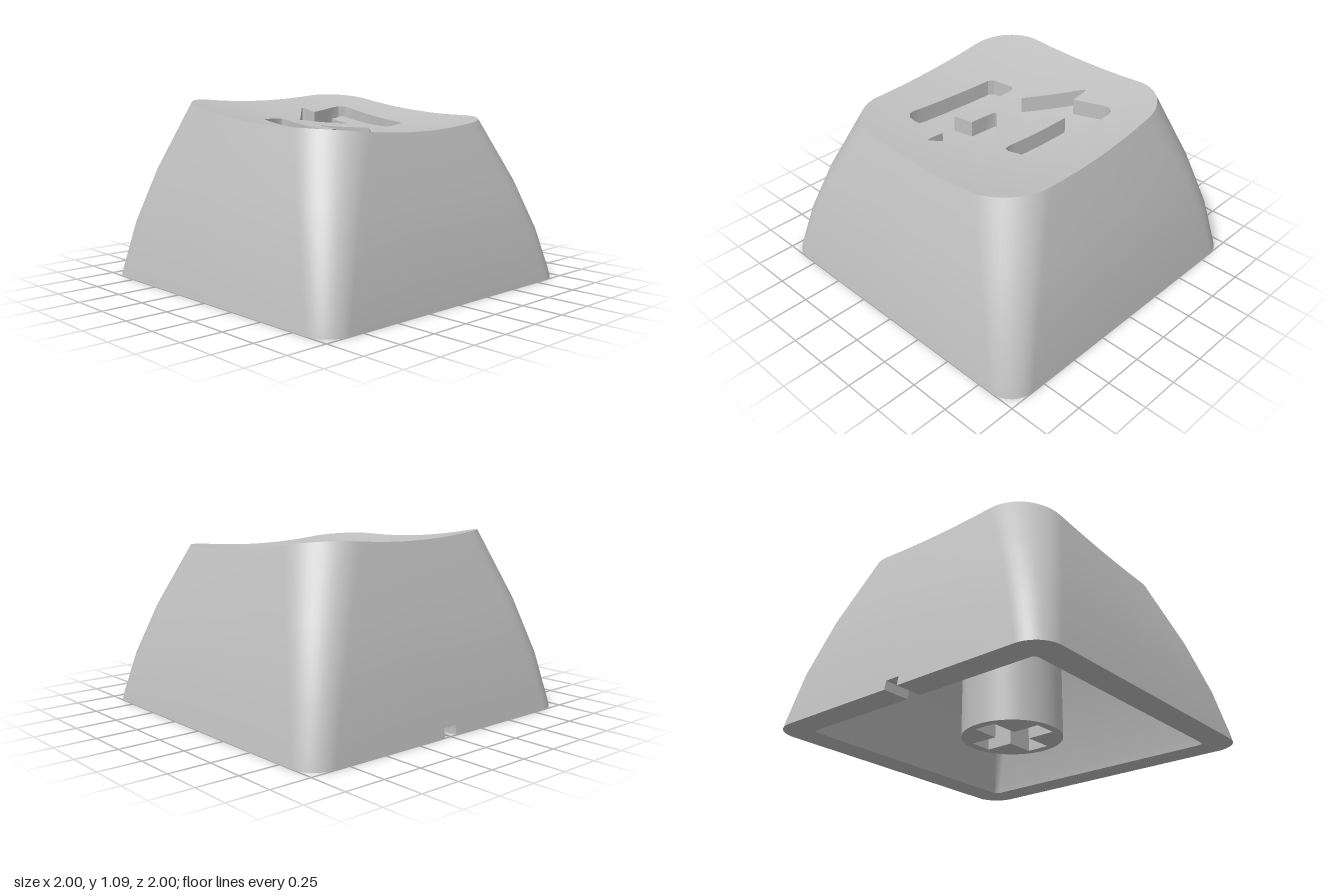
import * as THREE from 'three';
import { mergeVertices, toCreasedNormals } from 'three/addons/utils/BufferGeometryUtils.js';

const NOTCH_W = 0.047, NOTCH_H = 0.055, RECESS = 0.1, CEILING = 0.75;

// Height of the scooped, tilted top. Plan points are (x, -z).
const dish = (x, z) => 0.944 - 0.083 * z + 0.123 * (x * x + z * z);
const dishAt = (p) => dish(p.x, -p.y);
const lift = (p, y) => new THREE.Vector3(p.x, y, -p.y);

// Rounded square in plan, counter-clockwise, always with the same point count
function ring(half, radius, bow = 0) {
  const pts = [], s = half - radius;
  for (let side = 0; side < 4; side++) {
    const local = [];
    for (const f of [-0.75, -0.5, -0.25]) local.push([s * f, -half]);
    local.push([-NOTCH_W, -half], [NOTCH_W, -half]);
    for (const f of [0.25, 0.5, 0.75]) local.push([s * f, -half]);
    for (let i = 0; i <= 12; i++) {
      const a = -Math.PI / 2 + (i / 12) * Math.PI / 2;
      local.push([s + radius * Math.cos(a), -s + radius * Math.sin(a)]);
    }
    local.push([half, -s * 0.9]);
    for (const [x, y] of local) {
      const u = x * (1 - bow * (y / half) ** 2), v = y * (1 - bow * (x / half) ** 2);
      pts.push(new THREE.Vector2(u, v).rotateAround(new THREE.Vector2(), side * Math.PI / 2));
    }
  }
  return pts;
}

// Surface through rows of points; skip(row, column) leaves a cell open
function grid(rows, closed = true, skip = () => false) {
  const n = rows[0].length, index = [];
  for (let r = 0; r < rows.length - 1; r++) {
    for (let i = 0; i < (closed ? n : n - 1); i++) {
      if (skip(r, i)) continue;
      const j = (i + 1) % n, a = r * n + i, b = r * n + j;
      index.push(a, b, b + n, a, b + n, a + n);
    }
  }
  const g = new THREE.BufferGeometry().setFromPoints(rows.flat());
  g.setIndex(index);
  g.computeVertexNormals();
  return g;
}

// Flat plan shape, subdivided and draped onto the dish
function drape(shape, offset, levels) {
  let tris = [];
  const flat = new THREE.ShapeGeometry(shape).toNonIndexed().attributes.position;
  for (let i = 0; i < flat.count; i += 3) {
    tris.push([0, 1, 2].map((k) => new THREE.Vector2(flat.getX(i + k), flat.getY(i + k))));
  }
  const mid = (a, b) => a.clone().add(b).multiplyScalar(0.5);
  for (let l = 0; l < levels; l++) {
    tris = tris.flatMap(([a, b, c]) => {
      const ab = mid(a, b), bc = mid(b, c), ca = mid(c, a);
      return [[a, ab, ca], [ab, b, bc], [ca, bc, c], [ab, bc, ca]];
    });
  }
  const pts = tris.flat().map((p) => lift(p, dishAt(p) + offset));
  const g = mergeVertices(new THREE.BufferGeometry().setFromPoints(pts), 1e-5);
  g.computeVertexNormals();
  return g;
}

// Splits the edges of a closed outline into short steps
function resample(pts, step) {
  return pts.flatMap((p, i) => {
    const q = pts[(i + 1) % pts.length], n = Math.ceil(p.distanceTo(q) / step);
    return Array.from({ length: n }, (_, k) => p.clone().lerp(q, k / n));
  });
}

export function createModel() {
  const group = new THREE.Group();
  const plastic = new THREE.MeshStandardMaterial({ color: 0xc0c0c0 });
  plastic.name = 'grey plastic';
  const add = (name, geometry) => {
    const mesh = new THREE.Mesh(geometry, plastic);
    mesh.name = name;
    group.add(mesh);
    return mesh;
  };

  // Outer wall, bottom to top
  const top = ring(0.718, 0.28, 0.03);
  const section = (half, radius, bow, t) =>
    ring(half, radius, bow).map((p, i) => lift(p, t * dishAt(top[i])));
  const outer = [
    ring(1, 0.16).map((p) => lift(p, 0)),
    ring(0.99, 0.162).map((p) => lift(p, NOTCH_H)),
    section(0.942, 0.19, 0.005, 0.31),
    section(0.857, 0.23, 0.015, 0.62),
    top.map((p) => lift(p, dishAt(p))),
  ];
  // Cavity wall, ceiling to bottom
  const inner = [
    ring(0.6, 0.12).map((p) => lift(p, CEILING)),
    ring(0.73, 0.08).map((p) => lift(p, 0.42)),
    ring(0.82, 0.03).map((p) => lift(p, NOTCH_H)),
    ring(0.83, 0.03).map((p) => lift(p, 0)),
  ];
  const notch = top.findIndex((p, i) =>
    p.y > 0 && Math.abs(p.x) < 0.05 && Math.abs(top[(i + 1) % top.length].x) < 0.05);

  add('outerWall', grid(outer, true, (r, i) => r === 0 && i === notch));
  add('innerWall', grid(inner, true, (r, i) => r === 2 && i === notch));
  add('bottomRim', grid([inner[3], outer[0]], true, (r, i) => i === notch));
  add('cavityCeiling', grid([inner[0].map(() => new THREE.Vector3(0, CEILING, 0)), inner[0]]));

  // Notch through the back wall
  const n = notch, m = notch + 1;
  add('notchCeiling', grid([[inner[2][n], inner[2][m]], [outer[1][n], outer[1][m]]], false));
  add('notchLeftSide', grid([[outer[0][n], inner[3][n]], [outer[1][n], inner[2][n]]], false));
  add('notchRightSide', grid([[inner[3][m], outer[0][m]], [inner[2][m], outer[1][m]]], false));

  // Two bent arrows, each the other turned half round, sunk into the top
  const arrow = [
    [-0.385, -0.21], [-0.36, -0.238], [-0.24, -0.263], [-0.21, -0.255], [-0.203, -0.22],
    [-0.235, -0.02], [-0.265, 0.197], [-0.145, 0.165], [-0.125, 0.02], [-0.115, -0.003],
    [-0.098, -0.003], [0.097, 0.2], [-0.155, 0.47], [-0.175, 0.485], [-0.186, 0.47],
    [-0.18, 0.37], [-0.38, 0.408], [-0.43, 0.405], [-0.462, 0.38], [-0.468, 0.34], [-0.43, 0.05],
  ];
  const topShape = new THREE.Shape(top);
  for (const [side, s] of [['right', 1], ['left', -1]]) {
    const pts = arrow.map(([x, z]) => new THREE.Vector2(s * x, -s * z + (s < 0 ? 0.015 : 0)));
    if (THREE.ShapeUtils.isClockWise(pts)) pts.reverse();
    const outline = resample(pts, 0.06);
    topShape.holes.push(new THREE.Path(outline));
    const walls = grid([
      outline.map((p) => lift(p, dishAt(p))),
      outline.map((p) => lift(p, dishAt(p) - RECESS)),
    ]);
    add(side + 'ArrowWalls', toCreasedNormals(walls, 0.5));
    add(side + 'ArrowFloor', drape(new THREE.Shape(outline), -RECESS, 2));
  }
  add('dishedTop', drape(topShape, 0, 3));

  // Stem with a cross-shaped socket
  const stem = new THREE.Shape().absarc(0, 0, 0.305, 0, Math.PI * 2);
  const cross = [], w = 0.072, l = 0.25;
  for (let i = 0; i < 4; i++) {
    for (const [x, y] of [[l, -w], [l, w], [w, w]]) {
      cross.push(new THREE.Vector2(x, y).rotateAround(new THREE.Vector2(), i * Math.PI / 2));
    }
  }
  stem.holes.push(new THREE.Path(cross));
  const socket = new THREE.ExtrudeGeometry(stem, { depth: 0.4, bevelEnabled: false, curveSegments: 48 });
  add('stemSocket', toCreasedNormals(socket.rotateX(-Math.PI / 2), 0.5));
  const base = new THREE.CylinderGeometry(0.305, 0.305, CEILING - 0.39, 48);
  add('stemBase', base).position.y = (CEILING + 0.41) / 2;

  return group;
}
